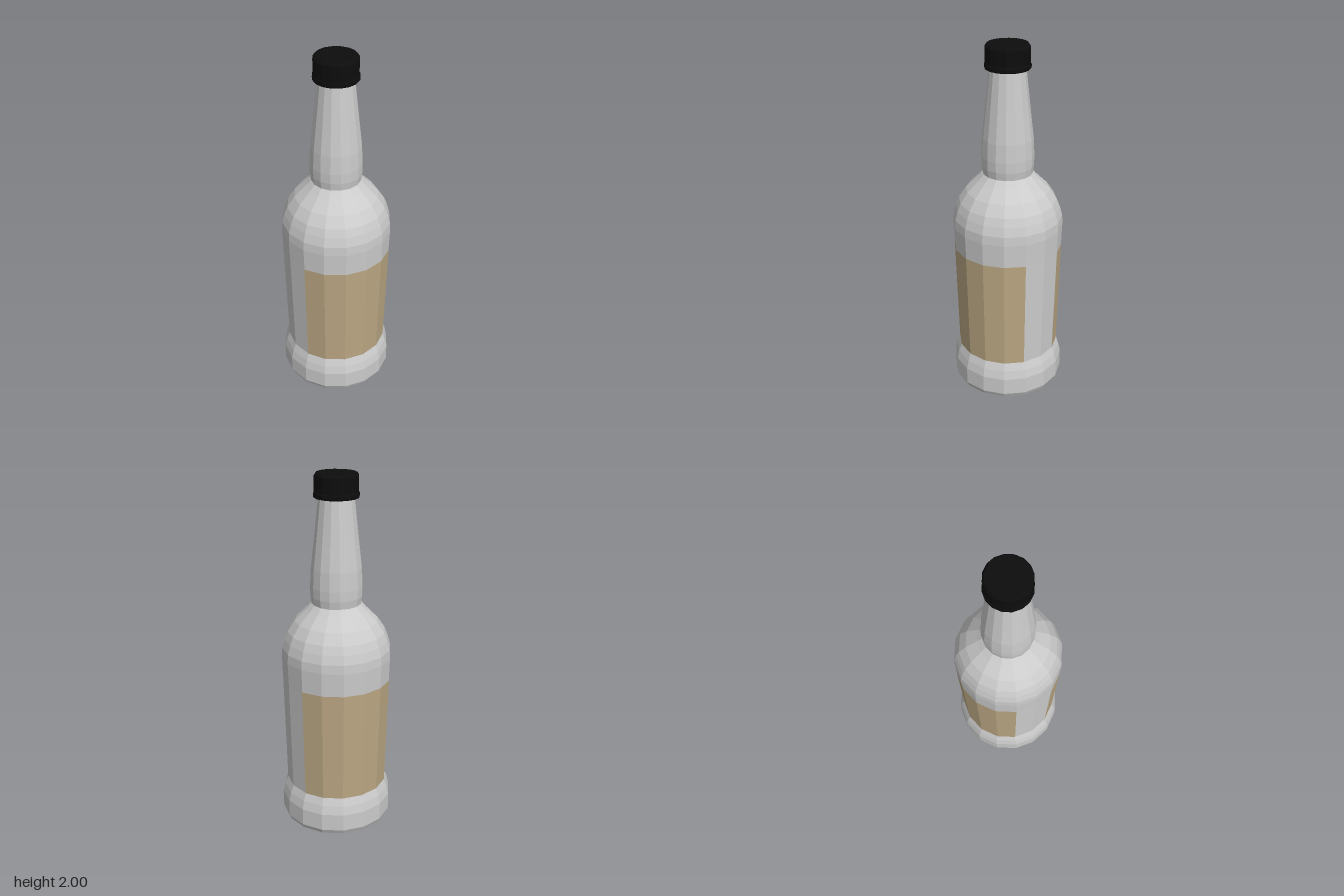
import * as THREE from 'three';

const SIDES = 16;
const STEP = (Math.PI * 2) / SIDES;

// Faceted solid of revolution from [radius, height] pairs, bottom to top
function turned(name, profile, color, first = 0, count = SIDES) {
  const points = profile.map(([r, y]) => new THREE.Vector2(r, y));
  const geometry = new THREE.LatheGeometry(points, count, first * STEP, count * STEP);
  const material = new THREE.MeshStandardMaterial({ color, flatShading: true });
  const mesh = new THREE.Mesh(geometry, material);
  mesh.name = name;
  return mesh;
}

export function createModel() {
  const bottle = new THREE.Group();
  bottle.name = 'bottle';

  // Glass: flared foot, slightly widening body, round shoulder, tapering neck
  bottle.add(turned('glass', [
    [0, 0.005], [0.265, 0.005], [0.28, 0], [0.303, 0.013], [0.316, 0.04],
    [0.316, 0.14], [0.304, 0.19], [0.287, 0.235],
    [0.301, 0.87], [0.305, 1.0], [0.302, 1.05], [0.288, 1.1], [0.27, 1.145],
    [0.23, 1.205], [0.165, 1.27], [0.136, 1.302],
    [0.142, 1.345], [0.143, 1.4], [0.138, 1.5], [0.122, 1.64], [0.097, 1.87], [0.097, 1.9],
  ], 0xcccccc));

  // Labels: six facets each on front and back, leaving two bare on either side
  const labelProfile = [[0.2885, 0.235], [0.3025, 0.87]];
  bottle.add(turned('frontLabel', labelProfile, 0xbba783, -3, 6));
  bottle.add(turned('backLabel', labelProfile, 0xbba783, 5, 6));

  // Screw cap with a wider band at its lower edge
  bottle.add(turned('cap', [
    [0.09, 1.872], [0.118, 1.872], [0.122, 1.878], [0.122, 1.895], [0.118, 1.902],
    [0.118, 1.985], [0.108, 2.0], [0, 2.0],
  ], 0x0d0d0d));

  return bottle;
}
